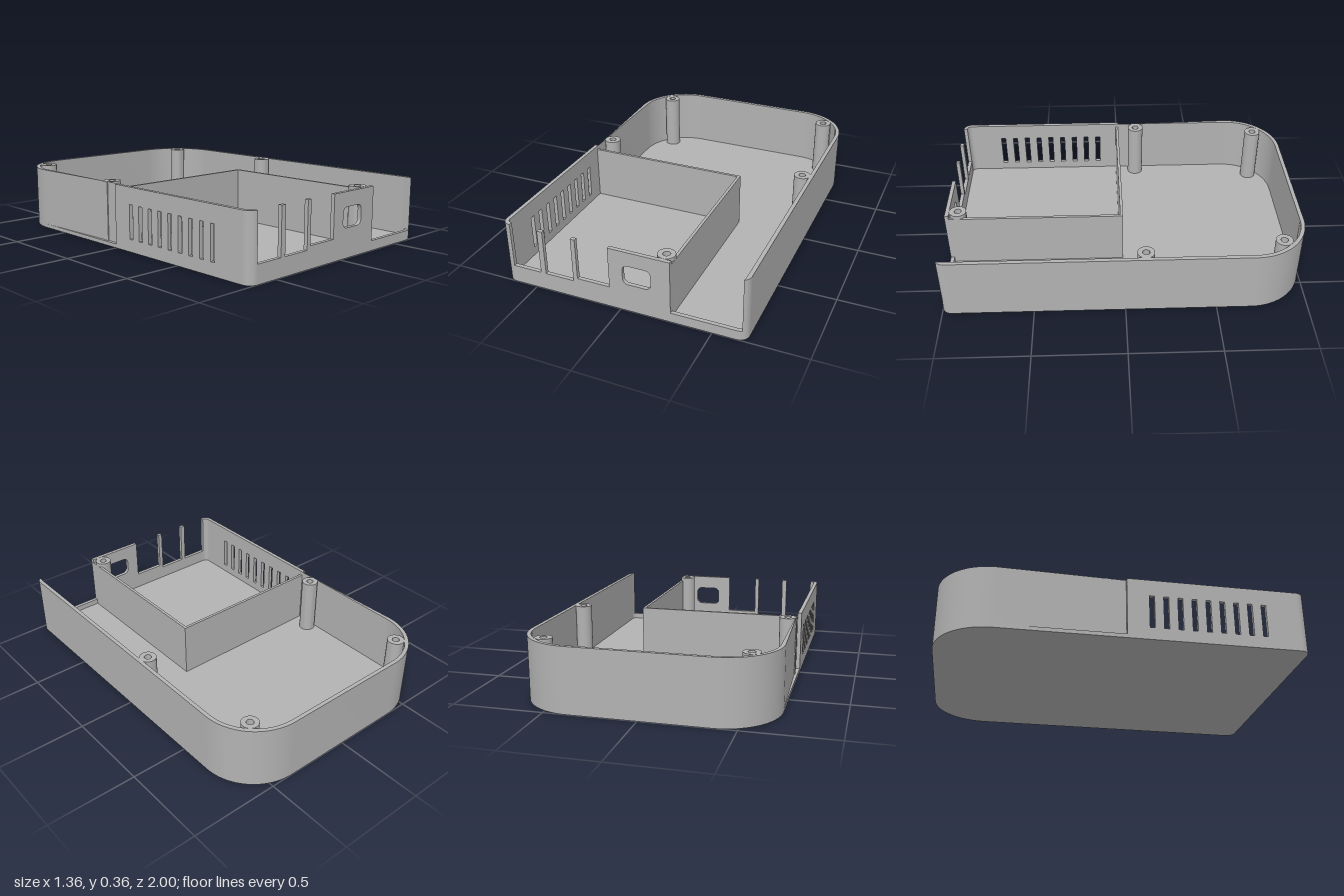
import * as THREE from 'three';
import { toCreasedNormals } from 'three/addons/utils/BufferGeometryUtils.js';

const W = 0.68, T = 0.022, H = 0.355, FLOOR = 0.022;
const R_BACK = 0.31, R_FRONT = 0.05;
const PI = Math.PI;

export function createModel() {
  const model = new THREE.Group();
  model.name = 'enclosureBase';
  const grey = new THREE.MeshStandardMaterial({ color: 0xb2b2b2 });
  grey.name = 'grey plastic';

  const add = (name, geometry) => {
    const mesh = new THREE.Mesh(geometry, grey);
    mesh.name = name;
    model.add(mesh);
    return mesh;
  };
  const extrude = (shape, depth) => toCreasedNormals(
    new THREE.ExtrudeGeometry(shape, { depth, bevelEnabled: false, curveSegments: 16 }), 0.5);
  // Plan shapes use (x, -z) and rise from y0 to y1
  const rise = (name, shape, y0, y1) =>
    add(name, extrude(shape, y1 - y0).rotateX(-PI / 2).translate(0, y0, 0));
  const box = (name, x0, x1, y0, y1, z0, z1) =>
    add(name, new THREE.BoxGeometry(x1 - x0, y1 - y0, z1 - z0)
      .translate((x0 + x1) / 2, (y0 + y1) / 2, (z0 + z1) / 2));
  const polygon = (points) => new THREE.Shape(points.map(([x, y]) => new THREE.Vector2(x, y)));
  const rectHole = (x0, x1, y0, y1) => {
    const p = new THREE.Path();
    p.moveTo(x0, y0).lineTo(x0, y1).lineTo(x1, y1).lineTo(x1, y0).closePath();
    return p;
  };

  // Floor plate with large rear and small front corners
  const cb = W - R_BACK, zb = 1 - R_BACK, cf = W - R_FRONT, zf = 1 - R_FRONT;
  const plan = new THREE.Shape();
  plan.moveTo(cf, -1);
  plan.absarc(cf, -zf, R_FRONT, -PI / 2, 0, false);
  plan.absarc(cb, zb, R_BACK, 0, PI / 2, false);
  plan.absarc(-cb, zb, R_BACK, PI / 2, PI, false);
  plan.absarc(-cf, -zf, R_FRONT, PI, PI * 1.5, false);
  rise('floor', plan, 0, FLOOR);

  // Rear wall and plain side walls in one sweep
  const ring = new THREE.Shape();
  ring.moveTo(-W, 0);
  ring.absarc(-cb, zb, R_BACK, PI, PI / 2, true);
  ring.absarc(cb, zb, R_BACK, PI / 2, 0, true);
  ring.lineTo(W, -zf);
  ring.lineTo(W - T, -zf);
  ring.absarc(cb, zb, R_BACK - T, 0, PI / 2, false);
  ring.absarc(-cb, zb, R_BACK - T, PI / 2, PI, false);
  ring.lineTo(-W + T, 0);
  rise('rearAndSideWall', ring, FLOOR, H);

  // Slotted side wall
  const ventShape = polygon([[0, FLOOR], [zf, FLOOR], [zf, H], [0, H]]);
  for (let i = 0; i < 9; i++) {
    const z = 0.135 + i * 0.0775;
    ventShape.holes.push(rectHole(z - 0.014, z + 0.014, 0.07, 0.26));
  }
  add('ventWall', extrude(ventShape, T).rotateY(-PI / 2).translate(-W + T, 0, 0));

  // Rounded front corners; the +x one is cut down by the wide opening
  const corner = (side) => {
    const s = new THREE.Shape();
    const a = side > 0 ? 0 : PI, b = side > 0 ? -PI / 2 : PI * 1.5;
    s.absarc(side * cf, -zf, R_FRONT, a, b, side > 0);
    s.absarc(side * cf, -zf, R_FRONT - T, b, a, side < 0);
    return s;
  };
  rise('frontCornerRight', corner(-1), FLOOR, H);
  rise('frontCornerLeft', corner(1), FLOOR, 0.055);
  const stub = new THREE.Shape();
  stub.absarc(cf, -zf, R_FRONT, 0, -PI / 3, true);
  stub.lineTo(W - T, -zf);
  rise('openingEdge', stub, 0.055, H);

  // Front wall with three open bays, a rounded port and the wide opening
  const front = polygon([
    [-cf, FLOOR], [cf, FLOOR], [cf, 0.055], [0.278, 0.055], [0.278, H],
    [-0.06, H], [-0.06, 0.12], [-0.245, 0.12], [-0.245, H],
    [-0.27, H], [-0.27, 0.1], [-0.435, 0.1], [-0.435, H],
    [-0.465, H], [-0.465, 0.1], [-cf, 0.1],
  ]);
  const port = new THREE.Path(), r = 0.03;
  port.absarc(0.173 - r, 0.274 - r, r, 0, PI / 2, false);
  port.absarc(0.018 + r, 0.274 - r, r, PI / 2, PI, false);
  port.absarc(0.018 + r, 0.163 + r, r, PI, PI * 1.5, false);
  port.absarc(0.173 - r, 0.163 + r, r, PI * 1.5, PI * 2, false);
  port.closePath();
  front.holes.push(port);
  add('frontWall', extrude(front, T).translate(0, 0, 1 - T));

  // Inner partition
  box('partitionBack', -W + T, 0.278, FLOOR, 0.333, 0, 0.016);
  box('partitionSide', 0.262, 0.278, FLOOR, 0.333, 0.016, 1 - T);

  // Screw posts: x, z and direction of the web to the wall
  const posts = [
    [-0.54, -0.86, -0.7, -0.7], [0.54, -0.86, 0.7, -0.7],
    [-0.615, -0.11, -1, 0], [0.615, -0.11, 1, 0], [0.232, 0.93, 0, 1],
  ];
  for (const [x, z, dx, dz] of posts) {
    const post = new THREE.Shape();
    post.absarc(0, 0, 0.047, 0, PI * 2, false);
    const hole = new THREE.Path();
    hole.absarc(0, 0, 0.02, 0, PI * 2, true);
    post.holes.push(hole);
    rise('screwPost', post, FLOOR, H).position.set(x, 0, z);
    const web = add('postWeb', new THREE.BoxGeometry(0.04, H - FLOOR - 0.002, 0.018));
    web.position.set(x + dx * 0.042, (H + FLOOR) / 2 - 0.001, z + dz * 0.042);
    web.rotation.y = Math.atan2(dx, dz);
  }
  return model;
}
